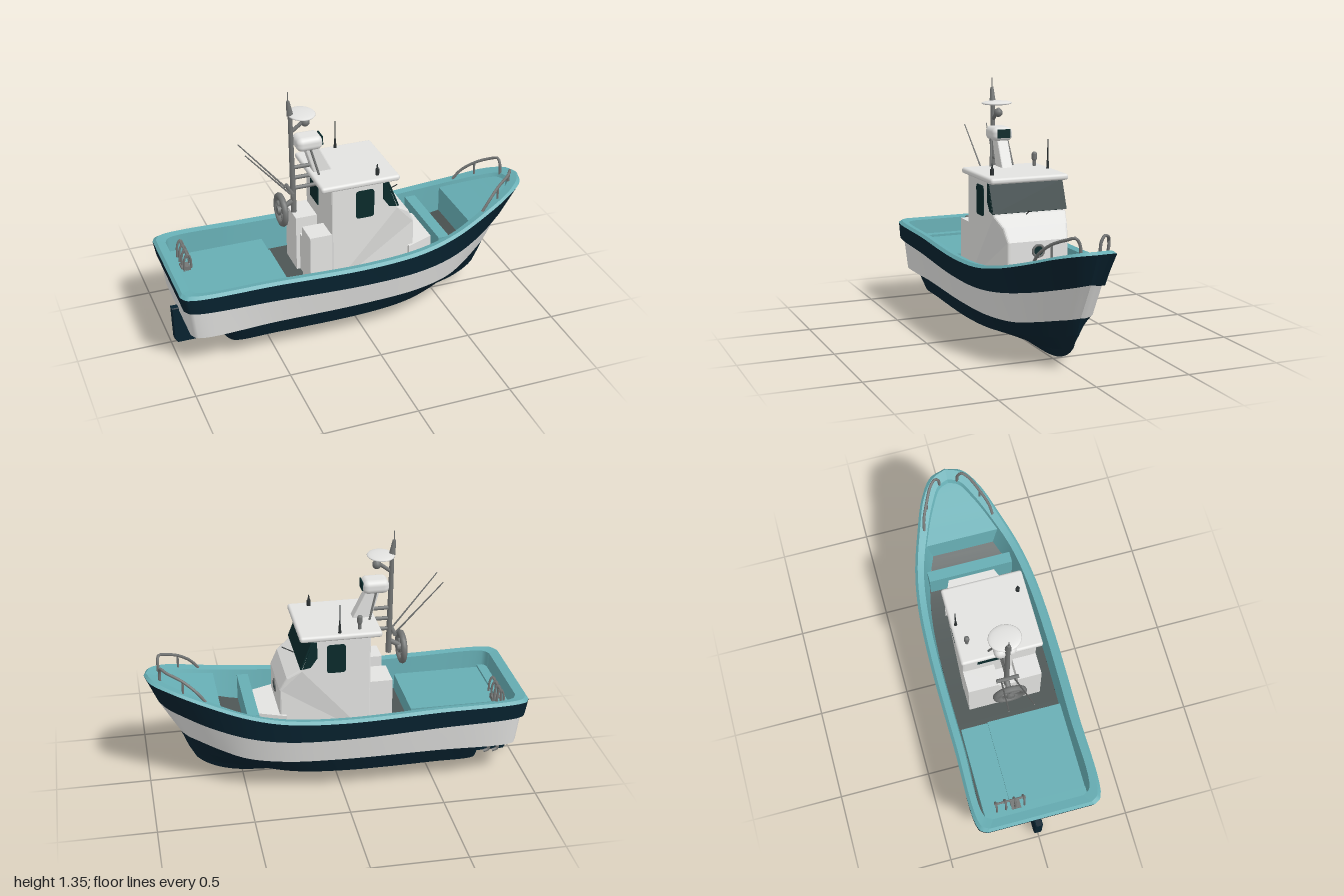
import * as THREE from 'three';
import { mergeGeometries } from 'three/addons/utils/BufferGeometryUtils.js';
import { RoundedBoxGeometry } from 'three/addons/geometries/RoundedBoxGeometry.js';

const mat = (name, color, side = THREE.FrontSide) => {
  const m = new THREE.MeshStandardMaterial({ color, side });
  m.name = name;
  return m;
};
const V = (x, y, z) => new THREE.Vector3(x, y, z);

// A lengthwise hull line from stern to bow, with a rounded stern corner
function line(points) {
  const p = points.map(q => V(...q));
  const first = p[0].clone();
  p[0].x += 0.03;
  p.unshift(V(first.x, first.y, first.z - 0.04));
  return new THREE.CatmullRomCurve3(p);
}
const shifted = (points, dx, dy, dz) => points.map(([x, y, z], i) =>
  [x + (i ? 0 : dx), y + dy, Math.max(0, z + dz)]);

// Grid surface through rows of points
function surface(rows) {
  const w = rows[0].length, pos = [], idx = [];
  rows.forEach(r => r.forEach(p => pos.push(p.x, p.y, p.z)));
  for (let i = 0; i < rows.length - 1; i++)
    for (let j = 0; j < w - 1; j++) {
      const a = i * w + j, b = a + w;
      idx.push(a, b, a + 1, a + 1, b, b + 1);
    }
  const g = new THREE.BufferGeometry();
  g.setAttribute('position', new THREE.Float32BufferAttribute(pos, 3));
  g.setIndex(idx);
  g.computeVertexNormals();
  return g;
}
const flip = p => V(p.x, p.y, -p.z);

// Both sides between two hull lines, plus the strip across the stern
function band(a, b, n = 72) {
  const port = [], starboard = [];
  for (let i = 0; i <= n; i++) {
    const p = a.getPoint(i / n), q = b.getPoint(i / n);
    port.push([p, q]);
    starboard.push([flip(q), flip(p)]);
  }
  const [p, q] = port[0];
  return mergeGeometries([surface(port), surface(starboard), surface([[flip(p), flip(q)], [p, q]])]);
}
// Flat fill across the boat along one line
function across(a, t0, t1, n = 30) {
  const rows = [];
  for (let i = 0; i <= n; i++) {
    const p = a.getPoint(t0 + (t1 - t0) * i / n);
    rows.push([flip(p), p]);
  }
  return surface(rows);
}

export function createModel() {
  const boat = new THREE.Group();
  boat.name = 'fishingBoat';
  const D = THREE.DoubleSide;
  const navy = mat('navy paint', 0x07222f, D), white = mat('white paint', 0xe2e2e0, D);
  const teal = mat('teal deck paint', 0x66adb3, D), grey = mat('grey floor', 0x4d5554, D);
  const glass = mat('dark glass', 0x0a2a2b), metal = mat('grey metal', 0x747675);
  const dark = mat('dark fitting', 0x2c3233);

  const add = (name, geo, material, pos = [0, 0, 0], parent = boat) => {
    const m = new THREE.Mesh(geo, material);
    m.name = name;
    m.position.set(...pos);
    parent.add(m);
    return m;
  };
  const box = (name, x0, x1, y0, y1, z0, z1, material) =>
    add(name, new THREE.BoxGeometry(x1 - x0, y1 - y0, z1 - z0), material,
      [(x0 + x1) / 2, (y0 + y1) / 2, (z0 + z1) / 2]);
  const rod = (name, a, b, r, material = metal, r2 = r) => {
    const p = V(...a), q = V(...b), d = q.clone().sub(p);
    const m = add(name, new THREE.CylinderGeometry(r2, r, d.length(), 8), material);
    m.position.copy(p).add(q).multiplyScalar(0.5);
    m.quaternion.setFromUnitVectors(V(0, 1, 0), d.normalize());
    return m;
  };
  const tube = (name, pts, r, material = metal) =>
    add(name, new THREE.TubeGeometry(new THREE.CatmullRomCurve3(pts.map(p => V(...p))), 24, r, 7), material);
  const shape = pts => new THREE.Shape(pts.map(p => new THREE.Vector2(...p)));

  // Hull lines
  const sheerP = [[-1, .46, .33], [-.5, .455, .345], [0, .445, .35], [.3, .46, .335], [.5, .495, .3],
    [.7, .55, .235], [.87, .605, .165], [.97, .633, .09], [1, .64, 0]];
  const bandP = [[-.985, .375, .328], [-.5, .36, .34], [0, .345, .343], [.3, .35, .325], [.5, .37, .28],
    [.68, .405, .2], [.81, .44, .12], [.89, .465, .06], [.93, .48, 0]];
  const lowP = [[-.95, .2, .295], [-.5, .2, .295], [0, .2, .295], [.3, .205, .275], [.5, .215, .22],
    [.63, .24, .15], [.73, .265, .085], [.79, .28, .04], [.82, .29, 0]];
  const chineP = [[-.75, .11, .25], [-.5, .11, .26], [0, .11, .26], [.25, .115, .23], [.42, .125, .17],
    [.56, .145, .105], [.68, .165, .055], [.75, .185, .025], [.785, .2, 0]];
  const garboardP = [[-.75, .055, .07], [-.5, .05, .07], [0, .05, .07], [.25, .05, .06], [.42, .055, .045],
    [.54, .07, .03], [.65, .09, .015], [.71, .11, .008], [.745, .125, 0]];
  const keelP = [[-.75, .005, .04], [-.5, .005, 0], [0, .005, 0], [.25, .006, 0], [.42, .01, 0],
    [.54, .024, 0], [.63, .05, 0], [.69, .08, 0], [.725, .105, 0]];
  const rimP = [[-.94, .467, .285], [-.5, .462, .295], [0, .452, .3], [.3, .467, .285], [.5, .5, .25],
    [.68, .552, .185], [.82, .598, .12], [.91, .628, .06], [.935, .635, 0]];
  const wallP = [[-.93, .28, .275], [-.5, .28, .28], [0, .28, .285], [.3, .3, .265], [.5, .34, .22],
    [.66, .42, .15], [.8, .52, .09], [.89, .58, .045], [.915, .6, 0]];
  const sheer = line(sheerP), low = line(lowP), rim = line(rimP), wall = line(wallP);
  const stripeTop = line(shifted(bandP, .015, 0, -.018));
  const crown = line(sheerP.map(([x, y, z], i) => [x + (i === 0 ? .015 : i > 6 ? -.012 : 0), y + .014, Math.max(0, z - .015)]));
  const underTop = line([[-.75, .2, .29], ...lowP.slice(1)]);
  const bandLow = line(bandP), chine = line(chineP), garboard = line(garboardP), keel = line(keelP);

  add('upperHullBand', band(bandLow, sheer), navy);
  add('rubbingLedge', band(stripeTop, bandLow), navy);
  add('hullStripe', band(low, stripeTop), white);
  add('sternOverhang', band(underTop, low), navy);
  add('lowerHull', band(chine, underTop), navy);
  add('hullBottom', band(garboard, chine), navy);
  add('keel', band(keel, garboard), navy);
  add('gunwaleEdge', band(sheer, crown), teal);
  add('gunwaleTop', band(crown, rim), teal);
  add('bulwarkInside', band(wall, rim), teal);

  // Decks
  add('wellFloor', across(wall, 0, .64), grey);
  add('foredeck', across(line(shifted(rimP, 0, -.018, 0)), .63, 1), teal);
  const bTop = rim.getPoint(.63), bLow = wall.getPoint(.63);
  bTop.y -= .018;
  add('foredeckBulkhead', surface([[flip(bLow), bLow], [flip(bTop), bTop]]), teal);
  box('aftDeck', -.93, -.4, .27, .355, -.277, .277, teal);
  box('raisedAftDeck', -.93, -.4, .355, .372, -.13, .277, teal);
  box('aftLocker', -.93, -.88, .355, .385, -.277, .277, teal);
  box('crossBeam', .43, .49, .32, .475, -.235, .235, teal);

  // Cabin
  const cabin = new THREE.ExtrudeGeometry(shape([[-.155, .28], [.305, .28], [.305, .57], [.27, .64],
    [.2, .69], [.13, .87], [-.155, .87]]), { depth: .38, bevelThickness: .012, bevelSize: .008, bevelSegments: 2 });
  cabin.translate(0, 0, -.19);
  const cp = cabin.attributes.position;
  for (let i = 0; i < cp.count; i++) // narrow the nose of the cabin
    cp.setZ(i, cp.getZ(i) * (1 - Math.max(0, cp.getX(i) - .2) * 1.6));
  cabin.computeVertexNormals();
  add('cabin', cabin, white);
  const step = new THREE.ExtrudeGeometry(shape([[.28, -.19], [.43, -.13], [.43, .13], [.28, .19]]),
    { depth: .14, bevelEnabled: false });
  step.rotateX(Math.PI / 2);
  add('cabinFrontStep', step, white, [0, .43, 0]);
  box('aftLockerLeft', -.28, -.15, .28, .6, .07, .2, white);
  box('aftLockerRight', -.28, -.15, .28, .595, -.2, -.03, white);
  box('aftSeat', -.26, -.15, .28, .5, -.03, .07, white);
  const roof = new RoundedBoxGeometry(.43, .032, .435, 3, .014);
  const rp = roof.attributes.position;
  for (let i = 0; i < rp.count; i++) // slight roof camber
    rp.setY(i, rp.getY(i) - .15 * rp.getZ(i) ** 2);
  add('roof', roof, white, [-.005, .879, 0]);

  // Windows
  add('windscreen', new THREE.BoxGeometry(.009, .16, .412), glass, [.176, .778, 0]).rotation.z = .37;
  const pane = new THREE.Shape();
  pane.moveTo(-.03, .69).lineTo(-.03, .81).quadraticCurveTo(-.03, .83, -.01, .83).lineTo(.05, .83)
    .quadraticCurveTo(.07, .83, .07, .81).lineTo(.07, .69).quadraticCurveTo(.07, .67, .05, .67)
    .lineTo(-.01, .67).quadraticCurveTo(-.03, .67, -.03, .69);
  const quarter = shape([[.12, .76], [.155, .71], [.196, .703], [.142, .852], [.12, .852]]);
  for (const s of [1, -1]) {
    const z = s > 0 ? .2 : -.206, o = { depth: .006, bevelEnabled: false };
    add('sideWindow', new THREE.ExtrudeGeometry(pane, o), glass, [0, 0, z]);
    add('quarterWindow', new THREE.ExtrudeGeometry(quarter, o), glass, [0, 0, z]);
  }
  box('rearWindow', -.168, -.16, .67, .83, -.12, 0, glass);
  rod('wiper', [.2, .69, .02], [.27, .725, .03], .003, dark);
  add('porthole', new THREE.TorusGeometry(.03, .007, 8, 20), metal, [.314, .52, 0]).rotation.y = Math.PI / 2;
  add('portholeGlass', new THREE.CylinderGeometry(.028, .028, .008, 20), glass, [.314, .52, 0]).rotation.z = Math.PI / 2;

  // Radar mast
  const pylon = new THREE.ExtrudeGeometry(shape([[-.19, .88], [-.1, .88], [-.18, 1.04], [-.24, 1.04]]),
    { depth: .05, bevelThickness: .006, bevelSize: .006, bevelSegments: 2 });
  add('radarPylon', pylon, white, [0, 0, -.025]);
  add('radarHousing', new RoundedBoxGeometry(.14, .075, .115, 4, .03), white, [-.22, 1.06, 0]);
  box('radarFace', -.153, -.146, 1.042, 1.088, -.036, .036, glass);
  for (const s of [1, -1]) {
    rod('pylonStay', [-.18, .885, s * .065], [-.22, 1.04, s * .045], .006);
    rod('outriggerPole', [-.33, .79, s * .035], [-.57, 1.07, s * .065], .005, metal, .003);
  }
  rod('mast', [-.3, .66, 0], [-.31, 1.24, 0], .016, metal, .012);
  rod('mastTop', [-.31, 1.22, 0], [-.32, 1.3, 0], .018, metal, .009);
  rod('mastTip', [-.32, 1.29, 0], [-.32, 1.35, 0], .003);
  for (const y of [.8, .86, .92]) rod('mastBracket', [-.31, y, 0], [y > .85 ? -.2 : -.16, y, 0], .011);
  rod('crossTree', [-.32, .79, -.06], [-.32, .79, .06], .011);
  rod('scannerArm', [-.3, 1.13, 0], [-.22, 1.19, 0], .01);
  add('mastLamp', new THREE.SphereGeometry(.024, 12, 8), metal, [-.23, 1.17, 0]);
  const disc = add('scannerDisc', new THREE.SphereGeometry(.085, 24, 10), white, [-.25, 1.22, 0]);
  disc.scale.set(.85, .14, 1);

  // Line hauler wheel
  rod('haulerArm', [-.3, .73, 0], [-.37, .69, 0], .014);
  add('haulerRim', new THREE.TorusGeometry(.075, .017, 8, 24), metal, [-.37, .685, 0]).rotation.y = Math.PI / 2;
  rod('haulerHub', [-.392, .685, 0], [-.345, .685, 0], .022);
  for (let i = 0; i < 5; i++) {
    const a = i * Math.PI * 2 / 5;
    rod('haulerSpoke', [-.37, .685, 0], [-.37, .685 + .07 * Math.cos(a), .07 * Math.sin(a)], .008);
  }

  // Roof fittings
  rod('aerialBase', [0, .88, -.19], [0, .94, -.19], .009, dark, .005);
  rod('aerial', [0, .93, -.19], [0, 1.045, -.19], .003, dark);
  rod('roofLampBase', [.1, .88, .168], [.1, .92, .168], .011, dark);
  rod('roofLamp', [.1, .915, .168], [.1, .95, .168], .008, dark, .002);
  rod('ventPost', [-.11, .885, -.16], [-.11, .935, -.16], .009);
  add('ventCap', new THREE.CapsuleGeometry(.014, .025, 4, 10), metal, [-.11, .94, -.16]);

  // Bow rails
  for (const s of [1, -1]) {
    tube('bowRail', [[.7, .56, s * .195], [.74, .61, s * .185], [.81, .665, s * .15], [.89, .7, s * .105],
      [.915, .71, s * .075], [.92, .68, s * .055], [.92, .62, s * .05]], .008);
    rod('bowRailPost', [.81, .59, s * .15], [.81, .665, s * .15], .006);
  }

  // Stern rack
  for (let i = 0; i < 4; i++) {
    const z = -.21 + i * .05;
    tube('sternRackHoop', [[-.89, .37, z], [-.885, .46, z], [-.87, .485, z], [-.855, .46, z], [-.85, .4, z]], .006);
  }
  rod('sternRackBar', [-.87, .48, -.22], [-.87, .48, -.05], .006);
  box('sternRackFoot', -.9, -.85, .37, .395, -.13, -.08, metal);

  // Rudder and stern gear
  add('rudder', new THREE.ExtrudeGeometry(shape([[-.965, .005], [-.74, .005], [-.74, .215], [-.985, .215], [-.98, .03]]),
    { depth: .03, bevelThickness: .006, bevelSize: .004, bevelSegments: 1 }), navy, [0, 0, -.015]);
  rod('rudderBolt', [-.87, .06, -.03], [-.87, .06, .03], .014);
  for (const x of [-.9, -.85])
    tube('sternPipe', [[x, .21, -.11], [x, .12, -.11], [x, .065, -.112], [x + .03, .055, -.115]], .009);
  return boat;
}
